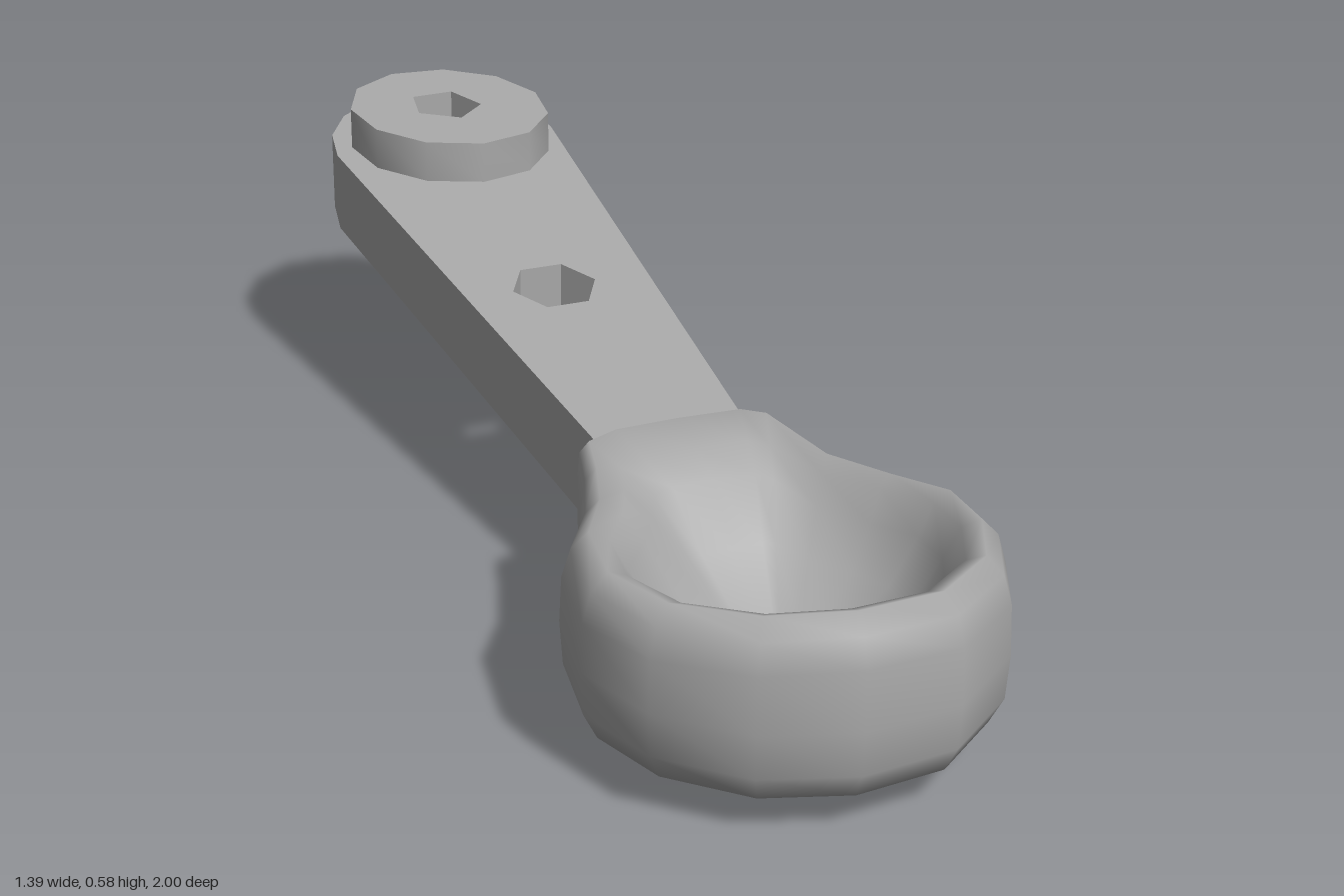
import * as THREE from 'three';
import { mergeVertices, toCreasedNormals } from 'three/addons/utils/BufferGeometryUtils.js';

// Arm axis in plan: start point, unit direction and side vector (x, z)
const START = [-0.08, 0.215], DIR = [0.4875, -0.873], SIDE = [0.873, 0.4875];

// Plan point (x, -z) at distance s along the arm and w across it
const armPoint = (s, w) => new THREE.Vector2(
  START[0] + DIR[0] * s + SIDE[0] * w,
  -(START[1] + DIR[1] * s + SIDE[1] * w));

function polygon(x, z, r, sides, turn = 0) {
  const pts = [];
  for (let i = 0; i < sides; i++) {
    const a = turn + (i / sides) * Math.PI * 2;
    pts.push(new THREE.Vector2(x + Math.cos(a) * r, -z + Math.sin(a) * r));
  }
  return pts;
}

// Extrude a plan outline with holes; lower and upper give the sloping faces
function slopedPlate(outline, holes, lower, upper) {
  const shape = new THREE.Shape(outline);
  for (const h of holes) shape.holes.push(new THREE.Path(h));
  const geo = new THREE.ExtrudeGeometry(shape, { depth: 1, bevelEnabled: false });
  geo.rotateX(-Math.PI / 2);
  const p = geo.attributes.position;
  for (let i = 0; i < p.count; i++) {
    const x = p.getX(i), z = p.getZ(i);
    p.setY(i, (p.getY(i) > 0.5 ? upper : lower)(x, z));
  }
  return toCreasedNormals(geo, 0.7);
}

// Bowl: rings lofted up the outside, over the rim and down into the hollow
function bowlGeometry() {
  // x, z, rim height, neckness (1 where the bowl meets the arm)
  const outline = [
    [-0.25, 0.14, 0.36, 1], [-0.33, 0.21, 0.36, 0.7], [-0.42, 0.275, 0.355, 0.3],
    [-0.55, 0.34, 0.36, 0], [-0.66, 0.47, 0.365, 0], [-0.695, 0.63, 0.37, 0],
    [-0.65, 0.8, 0.38, 0], [-0.54, 0.925, 0.385, 0], [-0.38, 0.998, 0.38, 0],
    [-0.2, 0.975, 0.37, 0], [-0.06, 0.88, 0.36, 0], [0.025, 0.76, 0.35, 0],
    [0.035, 0.62, 0.34, 0], [0.035, 0.47, 0.335, 0.3], [0.065, 0.31, 0.35, 1],
    [0.03, 0.275, 0.36, 1], [-0.08, 0.215, 0.365, 1], [-0.19, 0.155, 0.365, 1],
  ];
  const cx = -0.31, cz = 0.62;
  // scale at the bowl, scale at the neck, height from rim height r and neckness n
  const rings = [
    [0, 0, () => 0],
    [0.5, 0.5, (r, n) => 0.037 + 0.01 * n],
    [0.92, 0.94, (r, n) => 0.072 + 0.03 * n],
    [0.985, 0.99, (r, n) => 0.12 + 0.02 * n],
    [1, 1, () => 0.2],
    [0.99, 1, (r) => r - 0.08],
    [0.95, 0.99, (r) => r - 0.03],
    [0.87, 0.94, (r) => r],
    [0.78, 0.78, (r, n) => r - 0.015 - 0.01 * n],
    [0.7, 0.62, (r, n) => r - 0.07 + 0.02 * n],
    [0.55, 0.45, (r, n) => 0.2 + 0.02 * n],
    [0.3, 0.25, () => 0.135],
    [0, 0, () => 0.12],
  ];
  const pos = [], idx = [], n = outline.length;
  for (const [bowl, neck, height] of rings) {
    for (const [x, z, r, k] of outline) {
      const f = THREE.MathUtils.lerp(bowl, neck, k);
      pos.push(cx + (x - cx) * f, height(r, k), cz + (z - cz) * f);
    }
  }
  for (let j = 0; j < rings.length - 1; j++) {
    for (let i = 0; i < n; i++) {
      const a = j * n + i, b = j * n + (i + 1) % n;
      if (j > 0) idx.push(a, b, a + n);
      if (j < rings.length - 2) idx.push(b, b + n, a + n);
    }
  }
  let geo = new THREE.BufferGeometry();
  geo.setAttribute('position', new THREE.Float32BufferAttribute(pos, 3));
  geo.setIndex(idx);
  geo = mergeVertices(geo);
  geo.computeVertexNormals();
  return geo;
}

export function createModel() {
  const model = new THREE.Group();
  model.name = 'spoonLever';
  const grey = new THREE.MeshStandardMaterial({ color: 0xa8a8a8 });
  grey.name = 'grey';
  const add = (name, geo) => {
    const mesh = new THREE.Mesh(geo, grey);
    mesh.name = name;
    model.add(mesh);
  };

  add('bowl', bowlGeometry());

  // Arm: widening bar with a rounded end and two through holes
  const outline = [armPoint(-0.04, -0.135), armPoint(-0.04, 0.135)];
  for (let i = 0; i <= 8; i++) {
    const a = Math.PI / 2 - (i / 8) * Math.PI;
    outline.push(armPoint(1.13 + Math.cos(a) * 0.228, Math.sin(a) * 0.23));
  }
  const pivotHole = polygon(0.465, -0.765, 0.073, 5, 1.8);
  const middleHole = polygon(0.17, -0.247, 0.082, 6, Math.PI / 2);
  const along = (x, z) => (x - START[0]) * DIR[0] + (z - START[1]) * DIR[1];
  add('arm', slopedPlate(outline, [pivotHole, middleHole],
    (x, z) => 0.155 + 0.158 * along(x, z),
    (x, z) => 0.327 + 0.143 * along(x, z)));

  // Pivot discs above and below the rounded end
  const disc = (name, x, z, base, thickness) => {
    const y = (px, pz) => base - 0.08 * (pz - z);
    add(name, slopedPlate(polygon(x, z, 0.2, 11, 0.2), [pivotHole],
      y, (px, pz) => y(px, pz) + thickness));
  };
  disc('upperDisc', 0.465, -0.755, 0.488, 0.08);
  disc('lowerDisc', 0.475, -0.778, 0.282, 0.08);

  return model;
}
